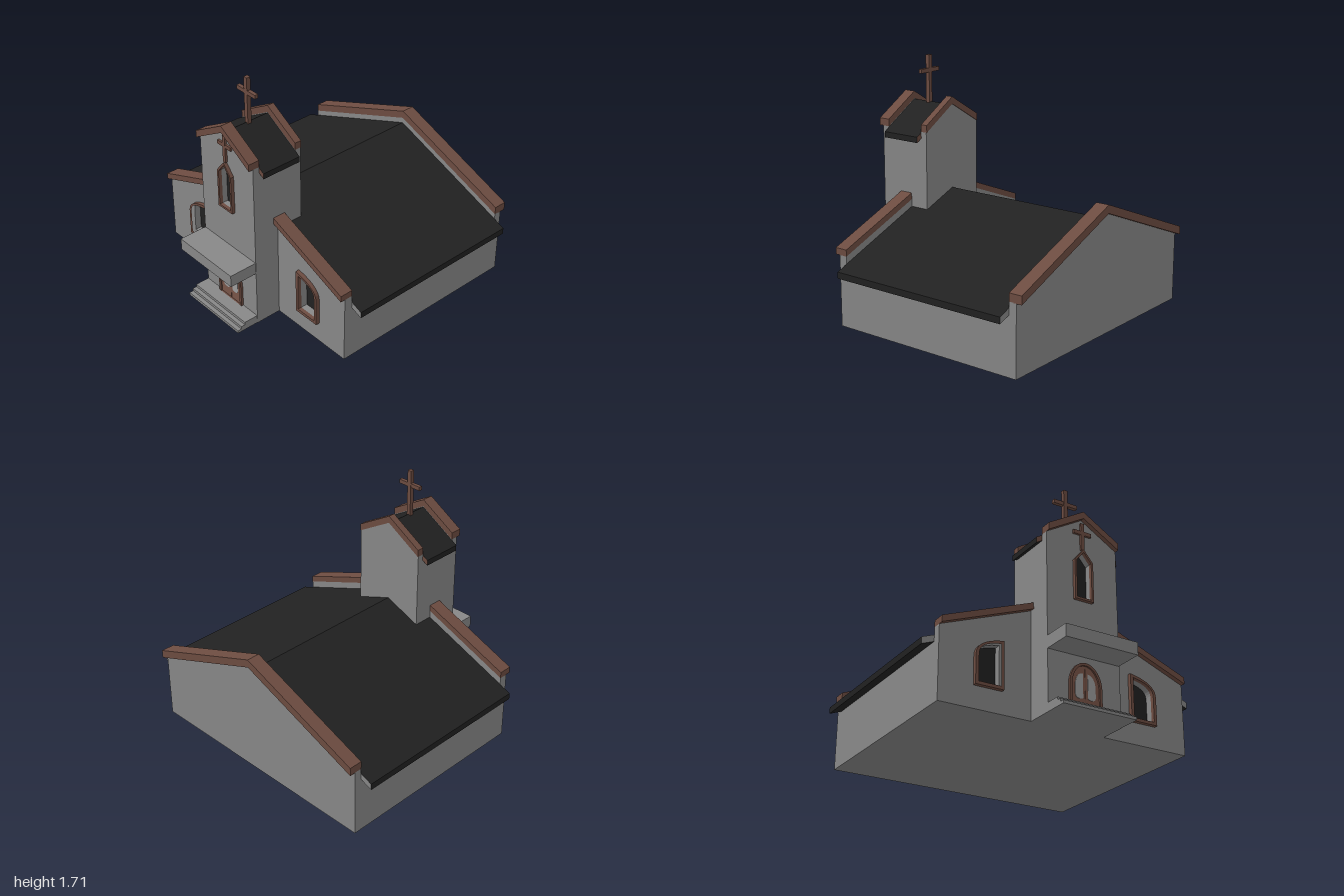
import * as THREE from 'three';

const mat = (name, color) => Object.assign(new THREE.MeshStandardMaterial({ color }), { name });

export function createModel() {
  const wall = mat('grey stucco', 0x888888);
  const trim = mat('brown trim', 0x6d4c41);
  const dark = mat('black roof', 0x212121);
  const doorWood = mat('door wood', 0x795548);
  const pane = mat('door pane', 0x9e9e9e);
  dark.side = THREE.DoubleSide;

  const model = new THREE.Group();
  model.name = 'chapel';

  const add = (name, geometry, material) => {
    const mesh = new THREE.Mesh(geometry, material);
    mesh.name = name;
    model.add(mesh);
    return mesh;
  };
  const box = (name, m, x0, x1, y0, y1, z0, z1) => {
    const g = new THREE.BoxGeometry(x1 - x0, y1 - y0, z1 - z0);
    g.translate((x0 + x1) / 2, (y0 + y1) / 2, (z0 + z1) / 2);
    return add(name, g, m);
  };
  // Extrude a shape between two depths
  const slab = (name, m, shape, z0, z1) => {
    const g = new THREE.ExtrudeGeometry(shape, { depth: z1 - z0, bevelEnabled: false, curveSegments: 10 });
    g.translate(0, 0, z0);
    return add(name, g, m);
  };
  const poly = (pts) => new THREE.Shape(pts.map(([x, y]) => new THREE.Vector2(x, y)));

  // Pentagon wall and the bent strip that lies along a gable
  const gable = (w, apex, slope) =>
    poly([[-w, 0], [w, 0], [w, apex - slope * w], [0, apex], [-w, apex - slope * w]]);
  const chevron = (w, apex, slope, t) => {
    const e = apex - slope * w;
    return poly([[-w, e - t], [0, apex - t], [w, e - t], [w, e], [0, apex], [-w, e]]);
  };

  // Opening outlines, each shrunk by an inset d
  const sideWindow = (s, d) => {
    const a = s * (0.475 + d), b = s * (0.675 - d), y0 = 0.15 + d, top = 0.475 - 1.1 * d;
    const p = new THREE.Shape();
    p.moveTo(a, y0);
    p.lineTo(b, y0);
    p.lineTo(b, 0.345);
    p.bezierCurveTo(b, 0.41, s * 0.61, top - 0.02, a, top);
    p.closePath();
    return p;
  };
  const towerWindow = (d) => {
    const w = 0.07 - d;
    return poly([[-w, 0.8 + d], [w, 0.8 + d], [w, 1.08 - d * 0.3], [0, 1.165 - d * 1.5], [-w, 1.08 - d * 0.3]]);
  };
  const doorway = (d) => {
    const w = 0.12 - d;
    const p = new THREE.Shape();
    p.moveTo(-w, 0.06);
    p.lineTo(w, 0.06);
    p.lineTo(w, 0.21);
    p.absellipse(0, 0.21, w, 0.16 - d, 0, Math.PI, false);
    p.closePath();
    return p;
  };
  const ring = (outer, inner) => {
    outer.holes.push(inner);
    return outer;
  };

  // Nave: body, tall end walls, roof and gable caps
  const S = 0.388, W = 0.915;
  slab('naveBody', wall, gable(W, 0.755, S), -0.85, 0.49);
  slab('naveBackWall', wall, gable(W, 0.84, S), -0.905, -0.85);
  const front = gable(W, 0.85, S);
  front.holes.push(sideWindow(1, 0.022), sideWindow(-1, 0.022));
  slab('naveFrontWall', wall, front, 0.49, 0.55);
  slab('naveRoof', [wall, dark], chevron(1, 0.8, S, 0.045), -0.85, 0.49);
  slab('naveFrontTrim', trim, chevron(W, 0.895, S, 0.045), 0.49, 0.585);
  slab('naveBackTrim', trim, chevron(W, 0.895, S, 0.058), -0.945, -0.85);

  // Nave windows on both sides of the tower
  for (const s of [1, -1]) {
    const side = s > 0 ? 'left' : 'right';
    slab(side + 'WindowFrame', trim, ring(sideWindow(s, 0), sideWindow(s, 0.022)), 0.55, 0.578);
    slab(side + 'WindowGlass', dark, sideWindow(s, 0.021), 0.495, 0.502);
  }

  // Bell tower
  const T = 0.59, TW = 0.268;
  slab('towerBody', wall, gable(TW, 1.345, T), 0.395, 0.69);
  slab('towerBackWall', wall, gable(TW, 1.39, T), 0.35, 0.395);
  const towerFront = gable(TW, 1.39, T);
  towerFront.holes.push(towerWindow(0.015));
  slab('towerFrontWall', wall, towerFront, 0.69, 0.74);
  slab('towerRoof', [trim, dark], chevron(0.31, 1.385, T, 0.04), 0.395, 0.69);
  slab('towerFrontTrim', trim, chevron(TW, 1.44, T, 0.05), 0.69, 0.772);
  slab('towerBackTrim', trim, chevron(TW, 1.44, T, 0.05), 0.345, 0.395);
  slab('towerWindowFrame', trim, ring(towerWindow(0), towerWindow(0.015)), 0.74, 0.765);
  slab('towerWindowGlass', dark, towerWindow(0.014), 0.694, 0.7);

  // Crosses on the roof and on the tower face
  box('roofCrossPost', trim, -0.015, 0.015, 1.36, 1.71, 0.538, 0.568);
  box('roofCrossBar', trim, -0.09, 0.09, 1.59, 1.618, 0.54, 0.566);
  box('wallCrossPost', trim, -0.013, 0.013, 1.165, 1.36, 0.74, 0.756);
  box('wallCrossBar', trim, -0.066, 0.066, 1.275, 1.302, 0.74, 0.755);

  // Entrance: door, frame, panes, canopy and steps
  slab('doorFrame', trim, ring(doorway(0), doorway(0.018)), 0.74, 0.757);
  slab('door', doorWood, doorway(0.017), 0.74, 0.746);
  box('doorSeam', trim, -0.002, 0.002, 0.06, 0.345, 0.746, 0.748);
  for (const s of [1, -1]) {
    const p = new THREE.Shape();
    p.moveTo(s * 0.018, 0.14);
    p.quadraticCurveTo(s * 0.02, 0.13, s * 0.045, 0.13);
    p.quadraticCurveTo(s * 0.075, 0.13, s * 0.075, 0.16);
    p.lineTo(s * 0.075, 0.21);
    p.bezierCurveTo(s * 0.075, 0.26, s * 0.055, 0.3, s * 0.018, 0.3);
    p.closePath();
    slab(s > 0 ? 'leftDoorPane' : 'rightDoorPane', pane, p, 0.746, 0.749);
  }
  box('canopy', wall, -0.268, 0.265, 0.415, 0.502, 0.74, 0.945);
  [0.905, 0.875, 0.845].forEach((z, i) =>
    box('step' + (i + 1), wall, -0.268, 0.265, i * 0.02, (i + 1) * 0.02, 0.74, z));

  return model;
}
